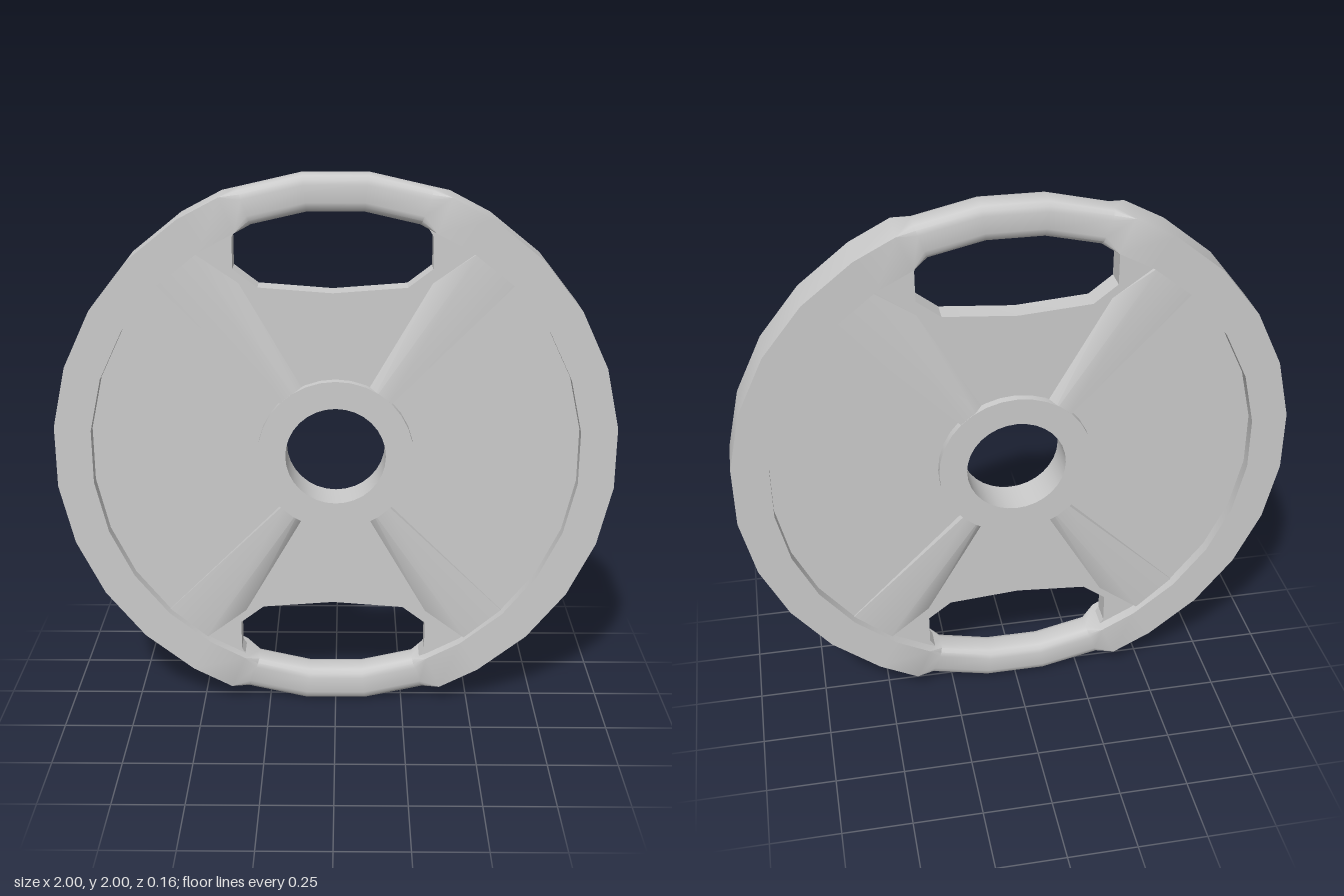
import * as THREE from 'three';
import { toCreasedNormals } from 'three/addons/utils/BufferGeometryUtils.js';

const SIDES = 28;
const STEP = (Math.PI * 2) / SIDES;
const WEB = 0.04; // half thickness of the recessed web
const HUB = 0.07; // half thickness of the hub

function geometryFrom(positions, index) {
  const g = new THREE.BufferGeometry();
  g.setAttribute('position', new THREE.Float32BufferAttribute(positions, 3));
  g.setIndex(index);
  return toCreasedNormals(g, 0.6);
}

// Rounded rectangle in (radius, z), four points per corner
function section(r0, r1, halfZ, corner) {
  const pts = [];
  [[1, 1], [0, 1], [0, -1], [1, -1]].forEach(([outer, s], k) => {
    const cr = outer ? r1 - corner : r0 + corner;
    const cz = s * (halfZ - corner);
    for (let i = 0; i < 4; i++) {
      const t = (k + i / 3) * Math.PI / 2;
      pts.push([cr + Math.cos(t) * corner, cz + Math.sin(t) * corner]);
    }
  });
  return pts;
}

// Outer ring: a square rim that narrows into a rounded grip at top and bottom
function ringGeometry() {
  const rim = section(0.875, 1.006, 0.08, 0);
  const grip = section(0.875, 1.004, 0.058, 0.035);
  const stations = [];
  for (let k = 0; k < SIDES; k++) {
    const angle = (k + 0.5) * STEP;
    const isGrip = Math.abs(Math.sin(angle)) > 0.93;
    stations.push({ angle, pts: isGrip ? grip : rim });
  }
  // square ends of the rim beside each grip
  for (const deg of [67, 113, 247, 293]) {
    stations.push({ angle: THREE.MathUtils.degToRad(deg), pts: rim });
  }
  stations.sort((a, b) => a.angle - b.angle);

  const pos = [], index = [];
  const n = rim.length, m = stations.length;
  stations.forEach(({ angle, pts }, i) => {
    for (const [r, z] of pts) pos.push(Math.cos(angle) * r, Math.sin(angle) * r, z);
    const next = (i + 1) % m;
    const bothRim = pts === rim && stations[next].pts === rim;
    for (let j = 0; j < n; j++) {
      if (bothRim && j % 4 !== 3) continue; // sharp corners have no width
      const j2 = (j + 1) % n;
      const a = i * n + j, b = next * n + j, c = next * n + j2, d = i * n + j2;
      index.push(a, b, c, a, c, d);
    }
  });
  return geometryFrom(pos, index);
}

// Thin disc with the bore and two hand holes cut out
function webGeometry() {
  const disc = new THREE.Shape();
  for (let k = 0; k < SIDES; k++) {
    const a = (k + 0.5) * STEP;
    disc[k ? 'lineTo' : 'moveTo'](Math.cos(a) * 0.95, Math.sin(a) * 0.95);
  }
  const bore = new THREE.Path();
  bore.absarc(0, 0, 0.23, 0, Math.PI * 2, true);
  disc.holes.push(bore);

  const half = [[0.26, 0.61], [0.345, 0.675], [0.345, 0.785], [0.305, 0.85], [0.11, 0.9]];
  const outline = [[0, 0.59], ...half, ...half.map(([x, y]) => [-x, y]).reverse()];
  for (const s of [1, -1]) {
    disc.holes.push(new THREE.Path(outline.map(([x, y]) => new THREE.Vector2(x - 0.01, y * s))));
  }
  const g = new THREE.ExtrudeGeometry(disc, { depth: WEB * 2, bevelEnabled: false, curveSegments: 8 });
  g.translate(0, 0, -WEB);
  return toCreasedNormals(g, 0.3);
}

// Hub tube around the bore
function hubGeometry() {
  const pts = [[0.18, -HUB], [0.28, -HUB], [0.28, HUB], [0.18, HUB], [0.18, -HUB]]
    .map(([r, z]) => new THREE.Vector2(r, z));
  const g = new THREE.LatheGeometry(pts, 32);
  g.rotateX(Math.PI / 2);
  g.deleteAttribute('normal');
  g.deleteAttribute('uv');
  return toCreasedNormals(g, 0.6);
}

// Spoke: slopes from the hub to the rim, with a ramp on the hand hole side
function spokeGeometry(sx, sy, sz) {
  const top = [
    [0.17, 0.17, HUB - 0.001], // hub, outer edge
    [0.63, 0.63, 0.044],       // rim, outer edge
    [0.49, 0.735, 0.056],      // rim, inner edge
    [0.12, 0.19, HUB - 0.001], // hub, inner edge
    [0.335, 0.625, WEB],       // ramp foot by the hand hole
    [0.10, 0.215, WEB],        // ramp foot by the hub
  ];
  const all = [...top, ...top.map(([x, y]) => [x, y, 0.03])];
  const pos = all.flatMap(([x, y, z]) => [x * sx, y * sy, z * sz]);
  const index = [];
  const quad = (a, b, c, d) => index.push(a, b, c, a, c, d);
  quad(0, 1, 2, 3);
  quad(3, 2, 4, 5);
  quad(6, 7, 1, 0);
  quad(8, 10, 4, 2);
  if (sx * sy * sz < 0) index.reverse();
  return geometryFrom(pos, index);
}

export function createModel() {
  const model = new THREE.Group();
  model.name = 'weightPlate';
  const material = new THREE.MeshStandardMaterial({ color: 0xcccccc });
  const add = (name, geometry, parent = model) => {
    const mesh = new THREE.Mesh(geometry, material);
    mesh.name = name;
    parent.add(mesh);
  };

  add('rimWithGrips', ringGeometry());
  add('web', webGeometry());
  add('hub', hubGeometry());

  // Four spokes on each face
  const spokes = new THREE.Group();
  spokes.name = 'spokes';
  model.add(spokes);
  for (const sx of [1, -1]) for (const sy of [1, -1]) for (const sz of [1, -1]) {
    const name = `${sz > 0 ? 'front' : 'back'}${sy > 0 ? 'Upper' : 'Lower'}${sx > 0 ? 'Left' : 'Right'}Spoke`;
    add(name, spokeGeometry(sx, sy, sz), spokes);
  }

  // Stand the plate on the ground
  for (const part of model.children) part.position.y = 0.998;
  return model;
}
